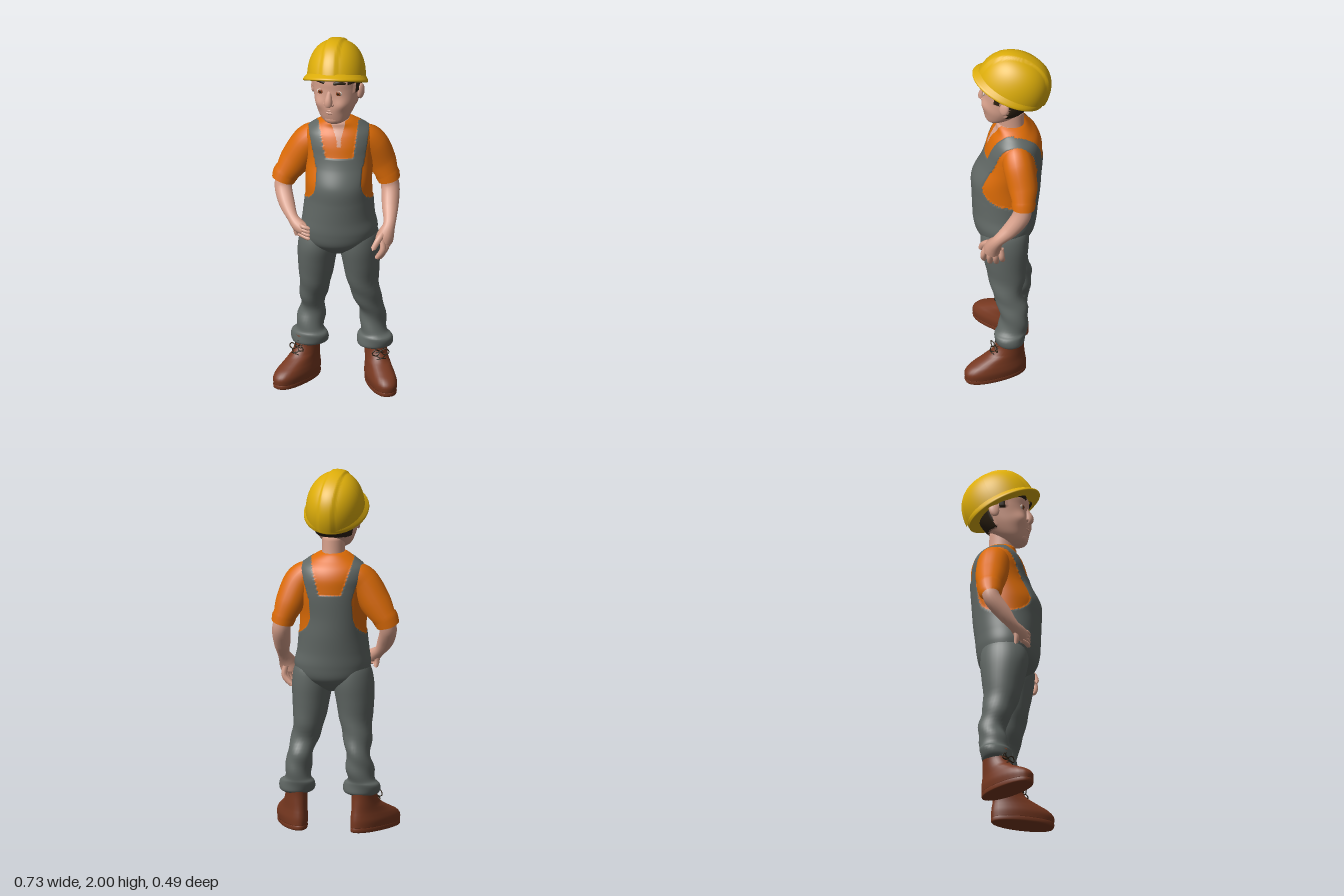
import * as THREE from 'three';

const mat = (name, color, side = THREE.FrontSide) => {
  const m = new THREE.MeshStandardMaterial({ color, side });
  m.name = name;
  return m;
};
const V = (x, y, z) => new THREE.Vector3(x, y, z);

export function createModel() {
  const root = new THREE.Group();
  root.name = 'builder';
  const denim = mat('denim grey', 0x616865);
  const shirt = mat('shirt orange', 0xdc6b06, THREE.DoubleSide);
  const skin = mat('skin', 0xd8a18c, THREE.DoubleSide);
  const hair = mat('hair dark brown', 0x2e2213);
  const yellow = mat('helmet yellow', 0xdeae0a);
  const leather = mat('boot leather', 0x773820);
  const iris = mat('iris brown', 0x8a4320);
  const white = mat('eye white', 0xd8c8bc);

  const add = (name, geo, material, parent = root) => {
    const m = new THREE.Mesh(geo, material);
    m.name = name;
    parent.add(m);
    return m;
  };

  // Closed solid through elliptical rings [y, cx, cz, rx, rz], listed bottom to top.
  // pick(u, y, w) chooses a material index per face; swell(u, y, w, a) scales the ring.
  function loft(rings, { seg = 32, steps = 4, yaw = 0, pick = () => 0, swell = () => 1 } = {}) {
    const centre = new THREE.CatmullRomCurve3(rings.map(r => V(r[1], r[0], r[2])), false, 'catmullrom', 0.5);
    const radius = new THREE.CatmullRomCurve3(rings.map(r => V(r[3], r[4], 0)), false, 'catmullrom', 0.5);
    const n = (rings.length - 1) * steps, pos = [], local = [], buckets = [];
    const c = Math.cos(yaw), s = Math.sin(yaw);
    for (let i = 0; i <= n; i++) {
      const p = centre.getPoint(i / n), r = radius.getPoint(i / n);
      for (let j = 0; j < seg; j++) {
        const a = (j / seg) * Math.PI * 2;
        let u = Math.sin(a) * r.x, w = Math.cos(a) * r.y;
        local.push([u, p.y, w]);
        const k = swell(u, p.y, w, a);
        u *= k; w *= k;
        pos.push(p.x + u * c + w * s, p.y, p.z - u * s + w * c);
      }
    }
    const face = (x, y, z) => {
      const [A, B, C] = [local[x], local[y], local[z]];
      const k = pick(...[0, 1, 2].map(q => (A[q] + B[q] + C[q]) / 3));
      (buckets[k] ??= []).push(x, y, z);
    };
    for (let i = 0; i < n; i++) for (let j = 0; j < seg; j++) {
      const a = i * seg + j, b = i * seg + (j + 1) % seg;
      face(a, b, b + seg); face(a, b + seg, a + seg);
    }
    for (const [i, top] of [[0, false], [n, true]]) {
      const p = centre.getPoint(i / n), id = pos.length / 3;
      pos.push(p.x, p.y, p.z);
      local.push([0, p.y, 0]);
      for (let j = 0; j < seg; j++) {
        const a = i * seg + j, b = i * seg + (j + 1) % seg;
        top ? face(id, a, b) : face(id, b, a);
      }
    }
    const g = new THREE.BufferGeometry(), index = [];
    g.setAttribute('position', new THREE.Float32BufferAttribute(pos, 3));
    buckets.forEach((b, k) => { g.addGroup(index.length, b.length, k); for (const v of b) index.push(v); });
    g.setIndex(index);
    g.computeVertexNormals();
    return g;
  }

  // Round limb through points [x, y, z, radius].
  function limb(pts, n = 24, seg = 16) {
    const path = new THREE.CatmullRomCurve3(pts.map(p => V(p[0], p[1], p[2])));
    const rad = new THREE.CatmullRomCurve3(pts.map(p => V(p[3], 0, 0)), false, 'catmullrom', 0.5);
    const g = new THREE.TubeGeometry(path, n, 1, seg), P = g.attributes.position, N = g.attributes.normal;
    for (let i = 0; i < P.count; i++) {
      const u = Math.floor(i / (seg + 1)) / n;
      const k = Math.max(0.0005, rad.getPoint(path.getUtoTmapping(u)).x) - 1;
      P.setXYZ(i, P.getX(i) + N.getX(i) * k, P.getY(i) + N.getY(i) * k, P.getZ(i) + N.getZ(i) * k);
    }
    return g;
  }
  const blob = (name, x, y, z, rx, ry, rz, material) => {
    const m = add(name, new THREE.SphereGeometry(1, 20, 14), material);
    m.position.set(x, y, z);
    m.scale.set(rx, ry, rz);
    return m;
  };

  // Torso: bib, straps and open collar are chosen by region
  const clothes = (u, y, w) => {
    const a = Math.abs(u), front = w > 0;
    if (front && y > 1.42 && a < 0.01 + 0.35 * Math.max(0, y - 1.455)) return 2;
    const edge = (front ? 0.122 : 0.114) + 0.07 * Math.max(0, (1.21 - y) / 0.12) ** 2;
    if (y < 1.085 || (y < (front ? 1.36 : 1.335) && a < edge)) return 0;
    const strap = front ? 0.106 + 0.19 * (y - 1.36) : 0.092 + 0.3 * (y - 1.335);
    return y < 1.525 && y > 1.3 && Math.abs(a - strap) < 0.032 ? 0 : 1;
  };
  add('torso', loft([
    [0.77, 0, 0.005, 0.06, 0.05], [0.8, 0.002, 0.005, 0.12, 0.1], [0.85, 0.005, 0.005, 0.182, 0.15],
    [0.92, 0.007, 0.005, 0.202, 0.168], [1.0, 0.003, 0.004, 0.191, 0.174], [1.1, 0.003, 0, 0.182, 0.182],
    [1.2, 0, -0.003, 0.18, 0.185], [1.3, -0.003, -0.03, 0.182, 0.166], [1.36, -0.006, -0.04, 0.186, 0.156],
    [1.42, -0.01, -0.045, 0.19, 0.146], [1.47, -0.012, -0.045, 0.176, 0.126], [1.51, -0.012, -0.04, 0.13, 0.096],
    [1.535, -0.012, -0.03, 0.09, 0.082], [1.547, -0.012, -0.025, 0.064, 0.07],
  ], { seg: 160, steps: 12, yaw: 0.3, pick: clothes, swell: (u, y, w) => (clothes(u, y, w) === 0 ? 1.022 : 1) }),
  [denim, shirt, skin]);

  // Trouser legs with soft folds and rolled cuffs
  const folds = (u, y, w, a) => 1 + (y < 0.7 ? 0.06 * Math.sin(2 * a + y * 45) * Math.min(1, (0.7 - y) * 4) : 0);
  add('rightLeg', loft([
    [0.205, -0.165, 0, 0.075, 0.065], [0.22, -0.163, 0, 0.094, 0.082], [0.265, -0.165, -0.002, 0.098, 0.085],
    [0.29, -0.165, -0.008, 0.078, 0.078], [0.35, -0.162, -0.02, 0.075, 0.08], [0.42, -0.155, -0.028, 0.064, 0.076],
    [0.5, -0.143, -0.005, 0.073, 0.088], [0.6, -0.125, 0.015, 0.086, 0.1], [0.72, -0.116, 0.022, 0.101, 0.12],
    [0.82, -0.106, 0.024, 0.108, 0.134], [0.9, -0.1, 0.02, 0.097, 0.122], [0.95, -0.095, 0.02, 0.07, 0.09],
  ], { swell: folds }), denim);
  add('leftLeg', loft([
    [0.205, 0.185, -0.068, 0.075, 0.065], [0.22, 0.185, -0.066, 0.09, 0.084], [0.265, 0.183, -0.07, 0.094, 0.088],
    [0.29, 0.175, -0.078, 0.074, 0.079], [0.35, 0.168, -0.085, 0.068, 0.078], [0.42, 0.163, -0.08, 0.069, 0.08],
    [0.5, 0.148, -0.045, 0.075, 0.08], [0.6, 0.127, -0.035, 0.084, 0.102], [0.72, 0.12, -0.025, 0.099, 0.12],
    [0.82, 0.113, -0.02, 0.108, 0.132], [0.9, 0.107, -0.02, 0.1, 0.125], [0.95, 0.1, -0.02, 0.07, 0.09],
  ], { swell: folds }), denim);

  // Boots with blunt toes, soles and laces
  const blunt = (u, y, w, a) => 1 + (y < 0.13 && w > 0 ? 0.07 * Math.sin(2 * a) ** 2 : 0);
  for (const [name, x, z, turn] of [['rightBoot', -0.178, 0.003, -0.38], ['leftBoot', 0.19, -0.065, 0.62]]) {
    const boot = new THREE.Group();
    boot.name = name;
    boot.position.set(x, 0.01, z);
    boot.rotation.y = turn;
    root.add(boot);
    add('bootUpper', loft([
      [0.012, 0, 0.08, 0.069, 0.174], [0.05, 0, 0.08, 0.073, 0.175], [0.08, 0, 0.068, 0.069, 0.16],
      [0.105, 0, 0.046, 0.064, 0.134], [0.14, 0, 0.016, 0.06, 0.1], [0.19, 0, -0.003, 0.059, 0.078],
      [0.25, 0, -0.005, 0.066, 0.079],
    ], { swell: blunt }), leather, boot);
    add('bootSole', loft([
      [-0.01, 0, 0.08, 0.062, 0.162], [-0.004, 0, 0.08, 0.069, 0.174], [0.016, 0, 0.08, 0.07, 0.175], [0.022, 0, 0.08, 0.064, 0.165],
    ], { swell: blunt }), leather, boot);
    [[0.21, 0.07], [0.18, 0.082], [0.15, 0.106]].forEach(([y, d]) => {
      for (const s of [-1, 1])
        add('lace', limb([[-0.025 * s, y, d - 0.008, 0.003], [0, y + 0.01, d + 0.005, 0.003], [0.025 * s, y + 0.02, d - 0.012, 0.003]], 8, 6), hair, boot);
    });
    for (const s of [-1, 1])
      add('laceBow', limb([[0, 0.19, 0.08, 0.003], [0.03 * s, 0.205, 0.092, 0.003], [0.048 * s, 0.18, 0.088, 0.003], [0.02 * s, 0.17, 0.09, 0.003], [0, 0.19, 0.08, 0.003]], 16, 6), hair, boot);
  }

  // Sleeves, folded at the end
  add('rightSleeve', limb([[-0.1, 1.425, -0.03, 0.04], [-0.135, 1.42, -0.025, 0.075], [-0.175, 1.385, -0.012, 0.088],
    [-0.243, 1.275, 0, 0.086], [-0.288, 1.2, 0.01, 0.068], [-0.295, 1.19, 0.012, 0.071], [-0.311, 1.145, 0.02, 0.06], [-0.312, 1.14, 0.021, 0.035]], 40, 20), shirt);
  add('leftSleeve', limb([[0.08, 1.425, -0.075, 0.04], [0.115, 1.42, -0.088, 0.075], [0.153, 1.38, -0.108, 0.087],
    [0.196, 1.27, -0.142, 0.08], [0.222, 1.2, -0.152, 0.064], [0.226, 1.19, -0.153, 0.067], [0.237, 1.15, -0.155, 0.057], [0.238, 1.145, -0.155, 0.035]], 40, 20), shirt);

  // Forearms and palms
  add('rightForearm', limb([[-0.3, 1.19, 0.012, 0.045], [-0.306, 1.12, 0.028, 0.047], [-0.268, 1.04, 0.078, 0.043],
    [-0.222, 0.98, 0.118, 0.03], [-0.18, 0.948, 0.142, 0.036], [-0.145, 0.932, 0.15, 0.028], [-0.135, 0.93, 0.152, 0.001]], 32), skin);
  add('leftForearm', limb([[0.23, 1.19, -0.153, 0.044], [0.245, 1.12, -0.148, 0.05], [0.262, 1.03, -0.095, 0.045],
    [0.28, 0.95, -0.025, 0.033], [0.27, 0.9, 0.004, 0.046], [0.26, 0.86, 0.014, 0.044], [0.256, 0.84, 0.018, 0.001]], 32), skin);

  // Fingers and thumbs
  for (let i = 0; i < 4; i++) {
    const z = 0.056 - i * 0.034, len = [0.08, 0.094, 0.09, 0.07][i];
    add('leftFinger', limb([[0.264, 0.885, z * 0.8, 0.016], [0.27, 0.862 - len * 0.4, z + 0.004, 0.017],
      [0.238, 0.862 - len, z + 0.006, 0.014], [0.23, 0.857 - len, z + 0.006, 0.001]], 10, 8), skin);
    const y = 0.962 - i * 0.02;
    add('rightFinger', limb([[-0.175, y, 0.15, 0.012], [-0.145, y - 0.004, 0.172 - i * 0.003, 0.012],
      [-0.115, y - 0.012, 0.168, 0.011], [-0.108, y - 0.016, 0.164, 0.001]], 10, 8), skin);
  }
  add('leftThumb', limb([[0.268, 0.925, 0.01, 0.018], [0.248, 0.89, 0.06, 0.018], [0.225, 0.84, 0.085, 0.014], [0.222, 0.832, 0.088, 0.001]], 10, 8), skin);
  add('rightThumb', limb([[-0.205, 0.96, 0.125, 0.015], [-0.2, 0.915, 0.13, 0.015], [-0.195, 0.885, 0.125, 0.012], [-0.194, 0.878, 0.123, 0.001]], 10, 8), skin);

  // Neck
  add('neck', loft([[1.48, -0.01, -0.035, 0.066, 0.075], [1.54, -0.01, -0.028, 0.06, 0.07], [1.64, -0.01, -0.02, 0.062, 0.075]]), skin);

  // Head, with rounded cheeks, and the hair chosen by region
  const hairy = (u, y, w) => {
    const low = w > 0.1 ? 1.825 : w > 0.055 ? 1.795 : w > 0.02 ? 1.735 : w > -0.035 ? 1.77 : 1.635;
    return y > low ? 1 : 0;
  };
  const cheeks = (u, y, w) => (w > 0 ? 0.1 * Math.exp(-(((Math.abs(u) - 0.062) / 0.03) ** 2) - ((y - 1.68) / 0.035) ** 2) : 0);
  add('head', loft([
    [1.553, -0.005, 0.06, 0.03, 0.03], [1.57, -0.005, 0.055, 0.062, 0.055], [1.6, -0.008, 0.035, 0.086, 0.086],
    [1.65, -0.01, 0.012, 0.108, 0.117], [1.7, -0.012, -0.006, 0.121, 0.133], [1.76, -0.015, -0.016, 0.13, 0.14],
    [1.82, -0.016, -0.022, 0.132, 0.144], [1.88, -0.018, -0.03, 0.112, 0.12], [1.92, -0.018, -0.035, 0.06, 0.065],
  ], { seg: 80, steps: 9, pick: hairy, swell: (u, y, w) => (hairy(u, y, w) ? 1.05 : 1 + cheeks(u, y, w)) }), [skin, hair]);

  const FX = -0.014;
  add('nose', limb([[FX, 1.77, 0.106, 0.008], [FX, 1.735, 0.122, 0.016], [FX, 1.7, 0.134, 0.023], [FX, 1.683, 0.132, 0.021], [FX, 1.67, 0.122, 0.001]], 16, 14), skin);
  blob('chin', FX + 0.006, 1.59, 0.092, 0.045, 0.032, 0.028, skin);
  for (const [y, r, end] of [[1.648, 0.008, 0.01], [1.632, 0.008, 0.016]])
    add('lip', limb([-0.046, -0.024, 0.002, 0.028, 0.05].map((d, i) => {
      const bend = Math.abs(i - 2) / 2;
      return [FX + d, y + end * bend * bend, 0.123 - 0.016 * bend * bend, r * (1 - 0.8 * bend)];
    }), 16, 8), skin);
  for (const s of [-1, 1]) {
    const x = FX + s * 0.051;
    blob('nostril', FX + s * 0.019, 1.684, 0.124, 0.012, 0.011, 0.014, skin);
    blob('eyeWhite', x, 1.75, 0.112, 0.021, 0.014, 0.008, white);
    blob('iris', x, 1.75, 0.117, 0.014, 0.013, 0.005, iris);
    blob('pupil', x, 1.75, 0.1215, 0.005, 0.006, 0.002, hair);
    add('eyebrow', limb([[x - s * 0.026, 1.805, 0.122, 0.007], [x, 1.815, 0.118, 0.012], [x + s * 0.035, 1.806, 0.098, 0.006]], 10, 8), hair);
    const ear = blob('ear', FX + s * 0.134, 1.722, -0.02, 0.014, 0.042, 0.028, skin);
    ear.rotation.set(-0.25, s * -0.35, 0);
  }

  // Helmet: full rounded dome with a raised centre ridge, and a brim longer at the front
  const helmet = new THREE.Group();
  helmet.name = 'helmet';
  helmet.position.set(-0.022, 1.772, -0.028);
  helmet.rotation.set(-0.42, 0.06, 0.1);
  root.add(helmet);
  const dome = new THREE.SphereGeometry(1, 80, 28, 0, Math.PI * 2, 0, Math.PI / 2);
  const dp = dome.attributes.position;
  for (let i = 0; i < dp.count; i++) {
    const x = dp.getX(i), y = dp.getY(i), flat = Math.hypot(x, dp.getZ(i));
    const full = (Math.abs(y) ** 2.3 + flat ** 2.3) ** (-1 / 2.3);
    const k = full * (1 + 0.04 * (1 - THREE.MathUtils.smoothstep(Math.abs(x), 0.22, 0.28)));
    dp.setXYZ(i, x * 0.157 * full, y * 0.214 * k, dp.getZ(i) * 0.197 * k);
  }
  dome.computeVertexNormals();
  add('helmetDome', dome, yellow, helmet);
  add('helmetBrim', loft([
    [-0.018, 0, 0.005, 0.15, 0.188], [-0.016, 0, 0.016, 0.171, 0.21], [-0.006, 0, 0.017, 0.173, 0.212],
    [0.006, 0, 0.01, 0.166, 0.206], [0.024, 0, 0, 0.154, 0.193],
  ], { seg: 64 }), yellow, helmet);

  return root;
}
